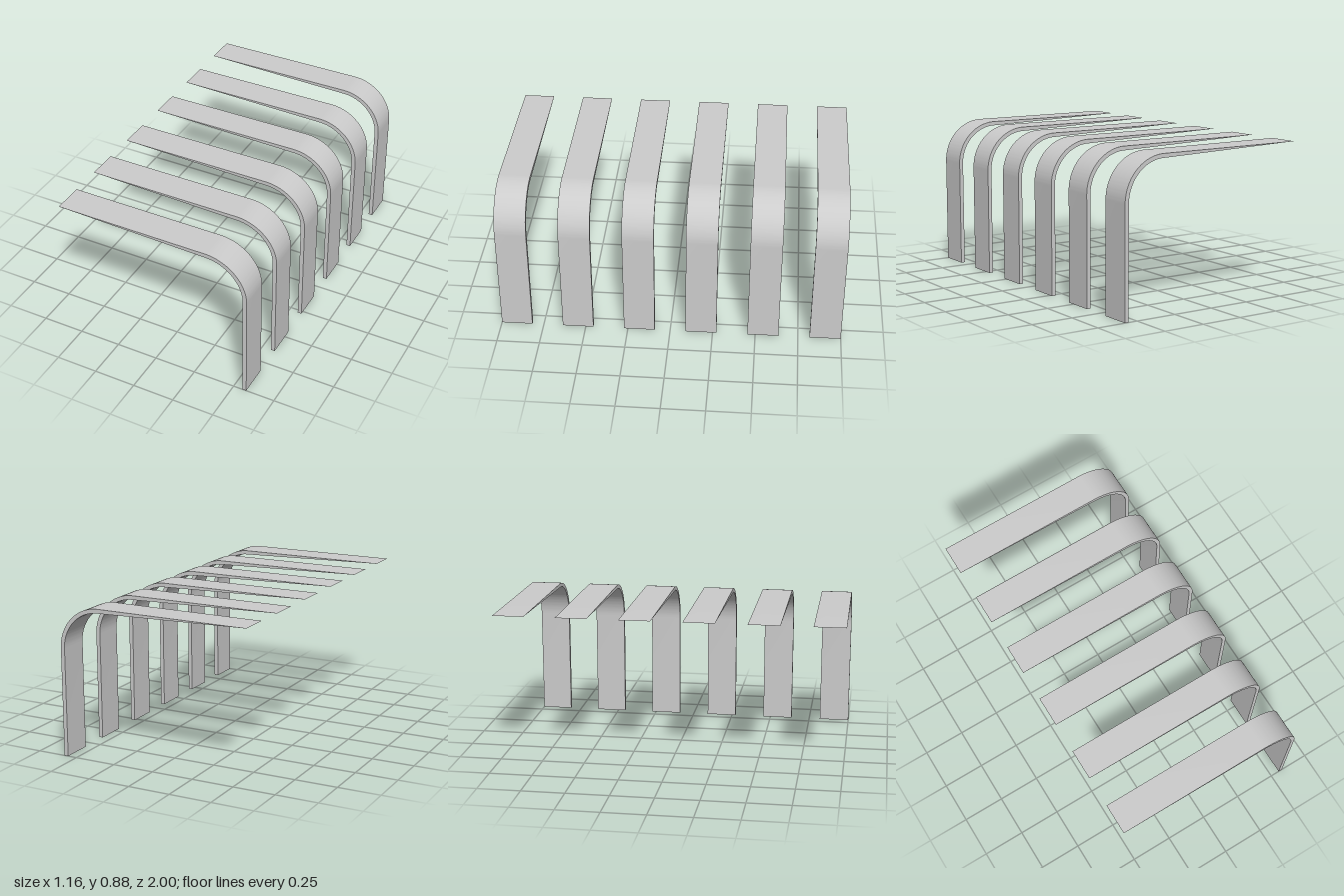
import * as THREE from 'three';
import { toCreasedNormals } from 'three/addons/utils/BufferGeometryUtils.js';

const COUNT = 6;
const WIDTH = 2 / 11;          // slat width equals the gap between slats
const HALF = 0.579;            // half the overall depth along x
const HEIGHT = 0.885;
const THICK = 0.024;
const RADIUS = 0.25;           // outer bend radius

// Side profile: flat top, rounded bend, straight leg
function slatProfile() {
  const cx = HALF - RADIUS, cy = HEIGHT - RADIUS;
  const s = new THREE.Shape();
  s.moveTo(-HALF, HEIGHT - THICK);
  s.absarc(cx, cy, RADIUS - THICK, Math.PI / 2, 0, true);
  s.lineTo(HALF - THICK, 0);
  s.lineTo(HALF, 0);
  s.absarc(cx, cy, RADIUS, 0, Math.PI / 2, false);
  s.lineTo(-HALF, HEIGHT);
  s.closePath();
  return s;
}

export function createModel() {
  const group = new THREE.Group();
  group.name = 'bentSlats';
  const material = new THREE.MeshStandardMaterial({ color: 0xcccccc });

  // One slat, smooth round the bend and sharp at its edges
  const extruded = new THREE.ExtrudeGeometry(slatProfile(), {
    depth: WIDTH, bevelEnabled: false, curveSegments: 24,
  });
  extruded.translate(0, 0, -WIDTH / 2);
  const geometry = toCreasedNormals(extruded, Math.PI / 6);

  // Evenly spaced row along z
  for (let i = 0; i < COUNT; i++) {
    const slat = new THREE.Mesh(geometry, material);
    slat.name = `slat${i + 1}`;
    slat.position.z = 1 - WIDTH / 2 - i * 2 * WIDTH;
    group.add(slat);
  }
  return group;
}
